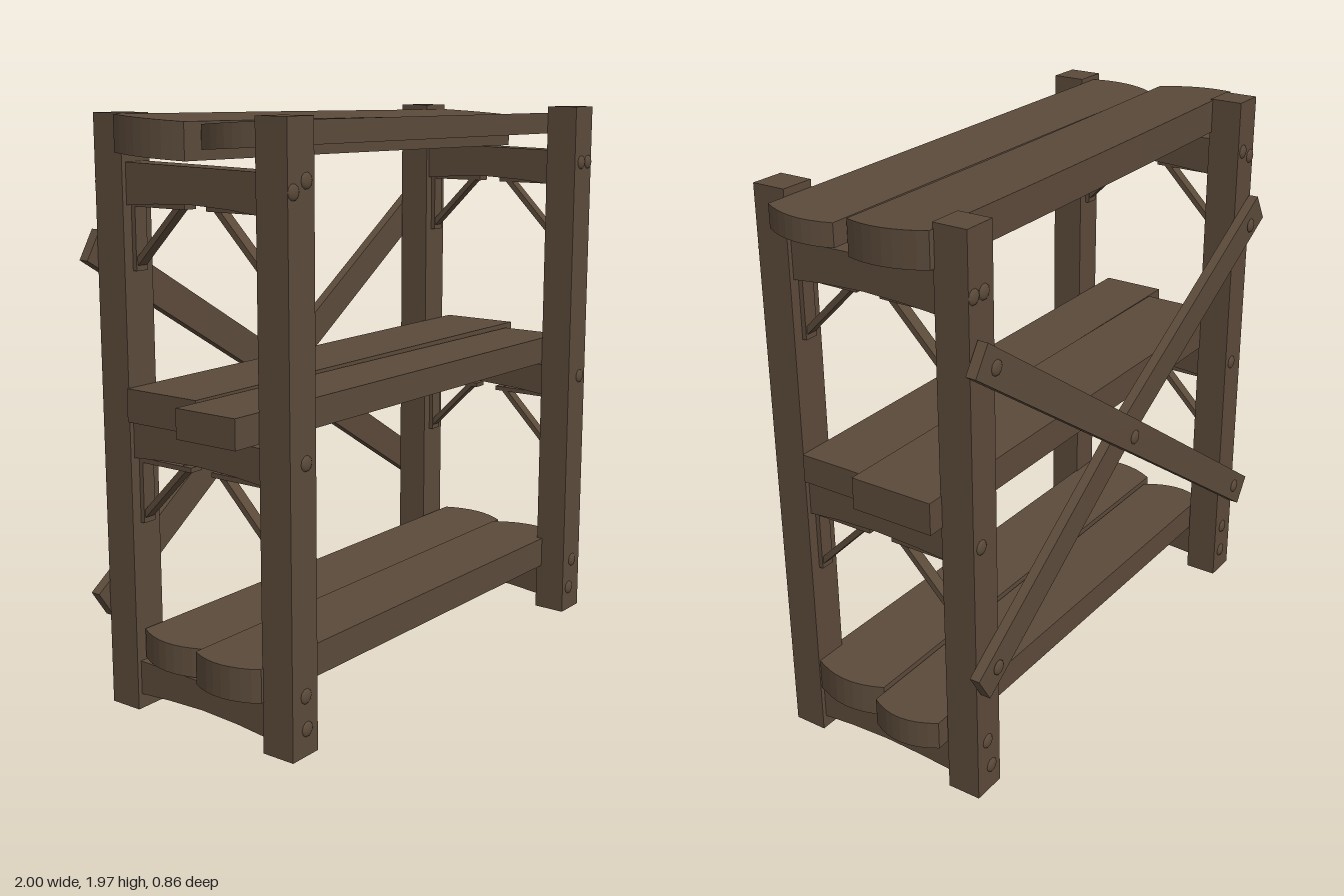
import * as THREE from 'three';

const wood = new THREE.MeshStandardMaterial({ color: 0x5b4a3a });
wood.name = 'darkWood';

function add(parent, name, geometry, x = 0, y = 0, z = 0) {
  const mesh = new THREE.Mesh(geometry, wood);
  mesh.name = name;
  mesh.position.set(x, y, z);
  parent.add(mesh);
  return mesh;
}

// Shelf board: plan outline with optional rounded ends, slightly bowed and tilted
function plank({ x: [x0, x1], z: [z0, z1], y: [y0, y1], round = 0, bow = 0, flare = 0, tilt = 0, slope = 0 }) {
  const pts = [];
  const n = 8, mid = (x0 + x1) / 2, half = (x1 - x0) / 2;
  const edge = (x, z, s) => {
    const u = (x - mid) / half;
    return new THREE.Vector2(x, -(z + bow * (1 - u * u) + s * flare * u));
  };
  for (let i = 0; i <= n; i++) pts.push(edge(x0 + round + (2 * half - 2 * round) * i / n, z1, 1));
  for (let i = 1; i < n; i++) {
    const t = 1 - 2 * i / n;
    pts.push(edge(x1 - round * t * t, z0 + (z1 - z0) * (1 + t) / 2, 0));
  }
  for (let i = n; i >= 0; i--) pts.push(edge(x0 + round + (2 * half - 2 * round) * i / n, z0, 0));
  for (let i = 1; i < n; i++) {
    const t = 2 * i / n - 1;
    pts.push(edge(x0 + round * t * t, z0 + (z1 - z0) * (1 + t) / 2, 0));
  }
  const g = new THREE.ExtrudeGeometry(new THREE.Shape(pts), { depth: y1 - y0, bevelEnabled: false });
  g.rotateX(-Math.PI / 2);
  const p = g.attributes.position, zc = (z0 + z1) / 2;
  for (let i = 0; i < p.count; i++) {
    p.setY(i, p.getY(i) + y0 + (p.getZ(i) - zc) * tilt + (p.getX(i) - mid) * slope);
  }
  g.computeVertexNormals();
  return g;
}

// Side profile in (z, y) extruded across x
function crossPiece(points, width) {
  const shape = new THREE.Shape(points.map(([z, y]) => new THREE.Vector2(z, y)));
  const g = new THREE.ExtrudeGeometry(shape, { depth: width, bevelEnabled: false });
  g.translate(0, 0, -width / 2);
  return g.rotateY(-Math.PI / 2);
}

// Low domed peg head facing +z (dir 1) or -z (dir -1)
function peg(parent, x, y, z, dir) {
  const g = new THREE.SphereGeometry(0.026, 10, 4, 0, Math.PI * 2, 0, Math.PI / 2);
  g.scale(1, 0.4, 1).rotateX(dir * Math.PI / 2);
  add(parent, 'peg', g, x, y, z);
}

export function createModel() {
  const model = new THREE.Group();
  model.name = 'shelf';

  // Four posts
  for (const sx of [-1, 1]) {
    add(model, 'frontPost', new THREE.BoxGeometry(0.122, 1.965, 0.12), sx * 0.834, 0.9825, 0.362);
    add(model, 'backPost', new THREE.BoxGeometry(0.122, 1.965, 0.12), sx * 0.834, 0.9825, -0.306);
  }

  // Two boards on each of three levels
  const boards = {
    topFrontBoard: { x: [-0.89, 1.0], z: [0.055, 0.3], y: [1.862, 1.938], round: 0.035, tilt: 0.06, slope: -0.005 },
    topBackBoard: { x: [-0.95, 0.945], z: [-0.25, 0.047], y: [1.828, 1.945], round: 0.03, bow: -0.01, tilt: -0.06, slope: -0.009 },
    middleFrontBoard: { x: [-1.0, 0.9], z: [0.06, 0.3], y: [0.992, 1.09], slope: -0.004 },
    middleBackBoard: { x: [-0.9, 0.955], z: [-0.25, 0.05], y: [0.99, 1.1], slope: 0.002 },
    bottomFrontBoard: { x: [-0.945, 0.92], z: [0.03, 0.315], y: [0.168, 0.28], round: 0.04, flare: 0.01, tilt: 0.03 },
    bottomBackBoard: { x: [-0.9, 0.975], z: [-0.24, 0.02], y: [0.172, 0.272], round: 0.04, tilt: -0.04 },
  };
  for (const [name, spec] of Object.entries(boards)) add(model, name, plank(spec));

  // Bearers joining front and back posts, with a hollowed underside
  for (const [y0, y1] of [[0.045, 0.168], [0.86, 0.99], [1.675, 1.815]]) {
    const profile = [[0.31, y0], [0.31, y1 - 0.012], [0.03, y1 - 0.006], [-0.26, y1],
      [-0.26, y0 + 0.005], [-0.12, y0 + 0.015], [0.03, y0 + 0.02], [0.18, y0 + 0.013]];
    for (const sx of [-1, 1]) {
      add(model, 'bearer', crossPiece(profile.slice().reverse(), 0.09), sx * 0.834);
    }
  }

  // Small triangular brackets under the upper two bearers
  for (const top of [0.864, 1.692]) {
    for (const sx of [-1, 1]) {
      for (const dir of [1, -1]) {
        const bracket = new THREE.Group();
        bracket.name = 'bracket';
        bracket.position.set(sx * 0.834, top, dir > 0 ? 0.302 : -0.246);
        add(bracket, 'bracketUpright', new THREE.BoxGeometry(0.05, 0.22, 0.016), 0, -0.11, -dir * 0.008);
        add(bracket, 'bracketArm', new THREE.BoxGeometry(0.05, 0.016, 0.23), 0, -0.008, -dir * 0.115);
        const strut = add(bracket, 'bracketStrut', new THREE.BoxGeometry(0.04, 0.27, 0.02), 0, -0.1, -dir * 0.105);
        strut.rotation.x = -dir * Math.PI / 4;
        model.add(bracket);
      }
    }
  }

  // Crossed back braces, each bent a little where they pass
  function brace(name, [xa, ya], [xb, yb], bend) {
    const dx = xb - xa, dy = yb - ya, len = Math.hypot(dx, dy);
    const g = new THREE.BoxGeometry(len, 0.112, 0.036, 4, 1, 1);
    const p = g.attributes.position;
    for (let i = 0; i < p.count; i++) {
      p.setZ(i, p.getZ(i) + bend * (1 - Math.abs(p.getX(i)) / (len / 2)));
    }
    g.computeVertexNormals();
    const mesh = add(model, name, g, (xa + xb) / 2, (ya + yb) / 2, -0.387);
    mesh.rotation.z = Math.atan2(dy, dx);
  }
  brace('innerBrace', [-0.91, 1.55], [0.905, 0.455], 0.022);
  brace('outerBrace', [-0.91, 0.345], [0.89, 1.58], -0.015);

  // Peg heads on the posts
  for (const [x, y] of [[-0.87, 1.75], [-0.81, 1.78], [-0.82, 0.94], [-0.83, 0.2], [-0.825, 0.09],
    [0.82, 1.76], [0.87, 1.76], [0.855, 0.94], [0.84, 0.2], [0.82, 0.09]]) {
    peg(model, x, y, 0.421, 1);
    peg(model, x, y, -0.365, -1);
  }
  // Peg heads on the braces
  for (const [x, y] of [[-0.83, 1.5], [0.83, 0.5], [-0.83, 0.4], [0.82, 1.535]]) peg(model, x, y, -0.406, -1);
  peg(model, 0.02, 0.98, -0.419, -1);
  peg(model, 0.05, 0.955, -0.349, 1);

  return model;
}
